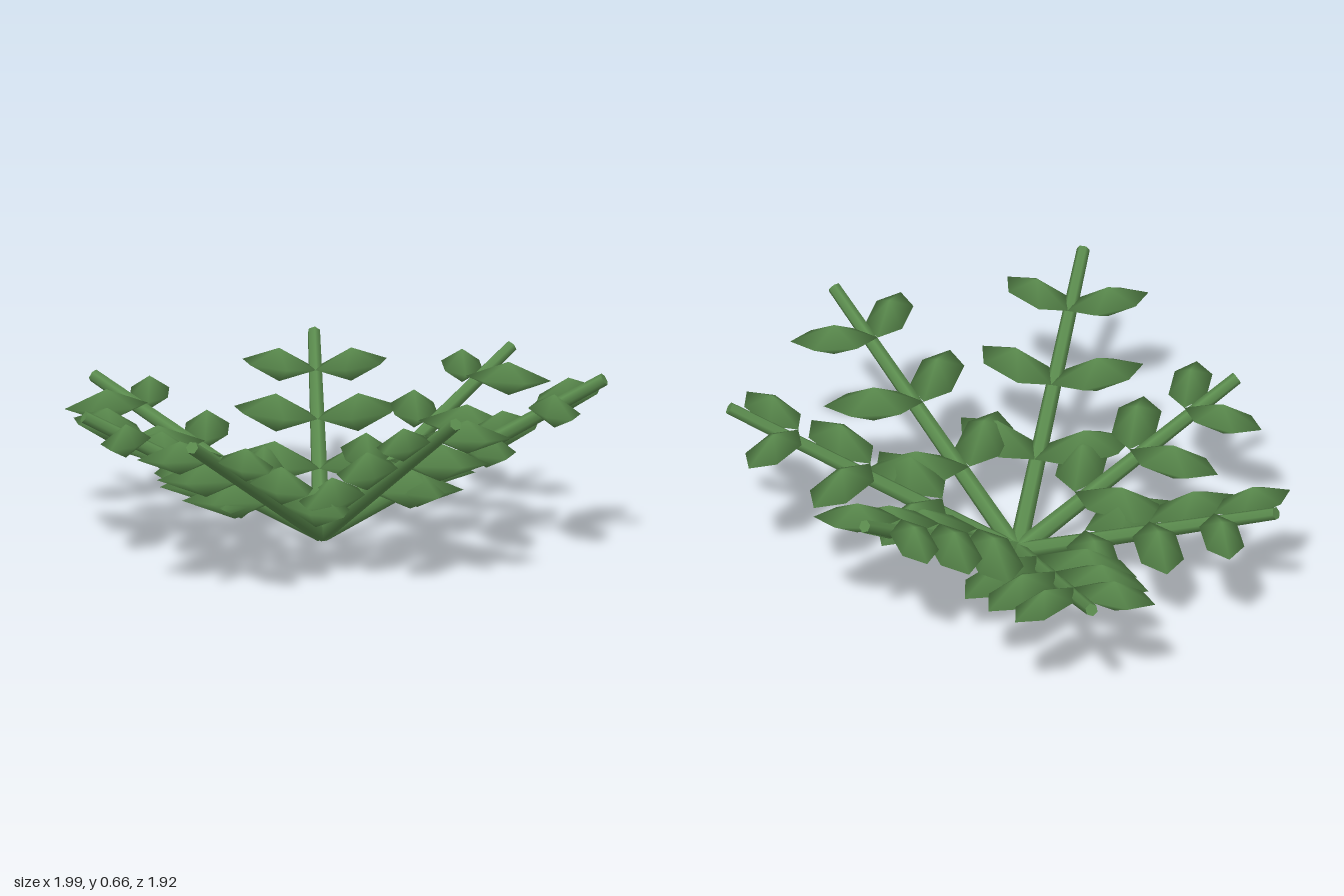
import * as THREE from 'three';

export function createModel() {
  const plant = new THREE.Group();
  plant.name = 'plant';
  const green = new THREE.MeshStandardMaterial({ color: 0x5b8c4e });
  green.name = 'leafGreen';

  // All stems fan out from one root; each entry is a stem tip
  const root = new THREE.Vector3(-0.01, 0.03, -0.075);
  const tips = [
    [-0.027, 0.57, -0.95], [0.77, 0.635, -0.725], [0.98, 0.64, 0.12], [0.505, 0.59, 0.93],
    [-0.365, 0.505, 0.715], [-0.985, 0.455, 0.17], [-0.908, 0.483, -0.768],
  ];

  // Leaf pairs: position of the leaf base along the stem, half length of the leaf
  const pairs = [[0.26, 0.19], [0.51, 0.177], [0.76, 0.155]];
  const spread = THREE.MathUtils.degToRad(55);

  // Faceted lens: hexagon from above, diamond from the side
  const leafGeometry = new THREE.SphereGeometry(1, 6, 2);
  const up = new THREE.Vector3(0, 1, 0);

  for (const tip of tips) {
    const branch = new THREE.Group();
    branch.name = 'branch';
    plant.add(branch);

    const along = new THREE.Vector3(...tip).sub(root);
    const reach = Math.hypot(along.x, along.z);
    const heading = Math.atan2(-along.z, along.x);

    // Tapered stem
    const stem = new THREE.Mesh(new THREE.CylinderGeometry(0.023, 0.033, along.length(), 6), green);
    stem.name = 'stem';
    stem.position.copy(root).addScaledVector(along, 0.5);
    stem.quaternion.setFromUnitVectors(up, along.clone().normalize());
    branch.add(stem);

    // Level leaves in mirrored pairs, angled forward from the stem
    for (const [t, half] of pairs) {
      const centre = t + half * Math.cos(spread) / reach;
      for (const side of [-1, 1]) {
        const leaf = new THREE.Mesh(leafGeometry, green);
        leaf.name = 'leaf';
        const offset = side * half * Math.sin(spread);
        leaf.position.copy(root).addScaledVector(along, centre);
        leaf.position.x -= Math.sin(heading) * offset;
        leaf.position.z -= Math.cos(heading) * offset;
        leaf.rotation.y = heading + side * spread;
        leaf.scale.set(half, half * 0.39, half * 0.5);
        branch.add(leaf);
      }
    }
  }
  return plant;
}
